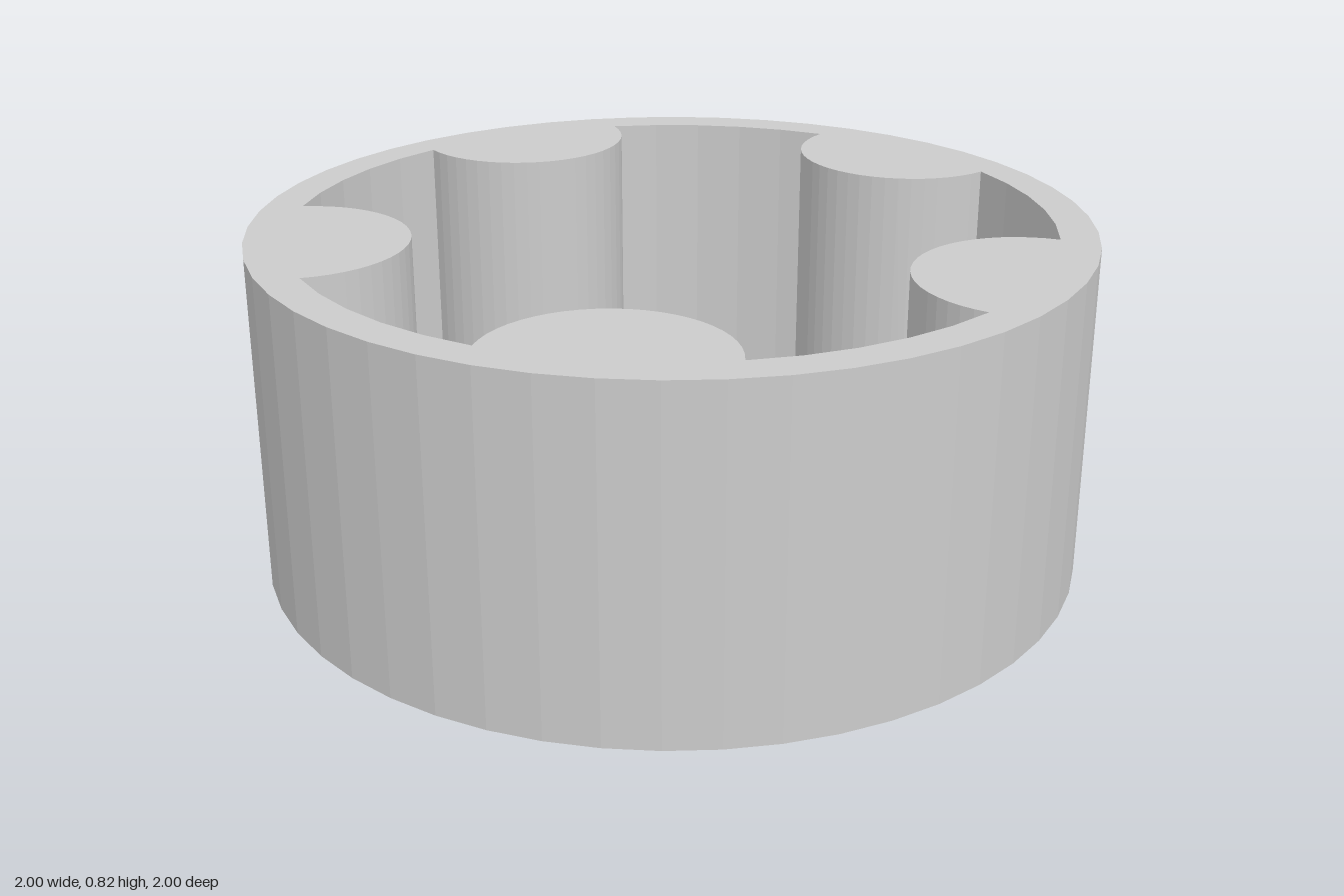
import * as THREE from 'three';

const HEIGHT = 0.82;
const OUTER = 1;         // outer wall radius
const INNER = 0.908;     // inner wall radius
const LOBES = 5;
const LOBE_R = 0.272;    // radius of each rounded lobe
const LOBE_D = 0.886;    // distance of lobe centres from the axis
const SIDES = 50;

// Points along an arc from angle a0 to a1, both ends included
function arc(cx, cy, r, a0, a1, n) {
  return Array.from({ length: n + 1 }, (_, i) => {
    const a = a0 + (a1 - a0) * i / n;
    return new THREE.Vector2(cx + r * Math.cos(a), cy + r * Math.sin(a));
  });
}

export function createModel() {
  const group = new THREE.Group();

  // Outer wall outline
  const shape = new THREE.Shape(arc(0, 0, OUTER, 0, Math.PI * 2, SIDES).slice(0, -1));

  // Bore outline: each lobe's inward face, then the wall up to the next lobe
  const half = Math.acos((INNER ** 2 + LOBE_D ** 2 - LOBE_R ** 2) / (2 * INNER * LOBE_D));
  const phi = Math.atan2(INNER * Math.sin(half), INNER * Math.cos(half) - LOBE_D);
  const step = Math.PI * 2 / LOBES;
  const bore = [];
  for (let k = 0; k < LOBES; k++) {
    const t = k * step;
    const cx = LOBE_D * Math.cos(t), cy = LOBE_D * Math.sin(t);
    bore.push(...arc(cx, cy, LOBE_R, t + Math.PI * 2 - phi, t + phi, 24).slice(0, -1));
    bore.push(...arc(0, 0, INNER, t + half, t + step - half, 5).slice(0, -1));
  }
  shape.holes.push(new THREE.Path(bore));

  // Upright lobed ring
  const geometry = new THREE.ExtrudeGeometry(shape, { depth: HEIGHT, bevelEnabled: false });
  geometry.rotateX(-Math.PI / 2);
  const ring = new THREE.Mesh(
    geometry,
    new THREE.MeshStandardMaterial({ color: 0xcccccc, flatShading: true })
  );
  ring.name = 'lobedRing';
  group.add(ring);
  return group;
}
